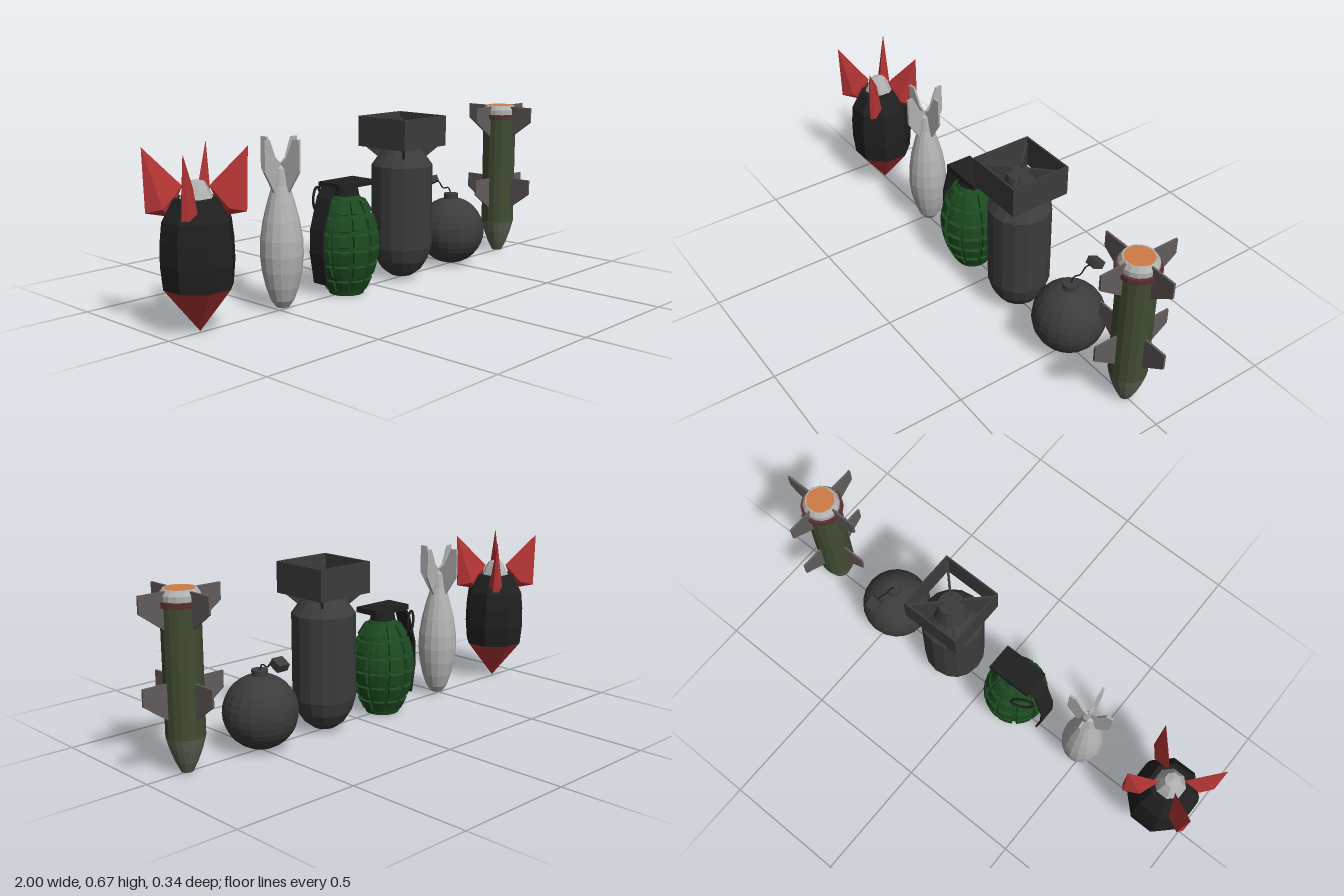
import * as THREE from 'three';
import { ConvexGeometry } from 'three/addons/geometries/ConvexGeometry.js';

const paint = (name, color) => Object.assign(new THREE.MeshStandardMaterial({ color }), { name });
const V = (x, y, z) => new THREE.Vector3(x, y, z);

export function createModel() {
  const black = paint('black', 0x202020);
  const darkGrey = paint('dark grey', 0x3c3c3d);
  const green = paint('green', 0x1c4a20);
  const red = paint('red', 0xb83636);
  const lightGrey = paint('light grey', 0xb2b2b2);
  const olive = paint('olive', 0x414c32);
  const noseGrey = paint('nose grey green', 0x5a6653);
  const maroon = paint('maroon', 0x5c2f2f);
  const orange = paint('orange', 0xcf7c46);
  const finGrey = paint('fin grey', 0x635d5d);

  const model = new THREE.Group();
  const item = (name, x) => {
    const g = new THREE.Group();
    g.name = name;
    g.position.x = x;
    model.add(g);
    return g;
  };
  const add = (parent, name, geo, mat) => {
    const m = new THREE.Mesh(geo, mat);
    m.name = name;
    parent.add(m);
    return m;
  };
  // Faceted solid of revolution; pts are [radius, y] from bottom to top
  const turned = (pts, sides, phase = 0) => {
    const g = new THREE.LatheGeometry(pts.map(p => new THREE.Vector2(...p)), sides, phase).toNonIndexed();
    g.computeVertexNormals();
    return g;
  };
  // Flat fin outline in the radius/height plane
  const plate = (pts, t) => {
    const s = new THREE.Shape(pts.map(p => new THREE.Vector2(...p)));
    return new THREE.ExtrudeGeometry(s, { depth: t, bevelEnabled: false }).translate(0, 0, -t / 2);
  };
  const ringOf = (parent, name, geo, mat, angles) =>
    angles.forEach(a => { add(parent, name, geo, mat).rotation.y = a; });
  const quarter = (offset) => [0, 1, 2, 3].map(i => offset + i * Math.PI / 2);

  // Red-nosed bomb
  const dart = item('redNosedBomb', -0.866);
  add(dart, 'nose', turned([[0, 0.005], [0.124, 0.165]], 8, Math.PI / 8), red);
  add(dart, 'body', turned([[0.124, 0.165], [0.132, 0.25], [0.13, 0.33], [0.122, 0.4], [0.08, 0.475], [0, 0.475]],
    8, Math.PI / 8), black);
  add(dart, 'tailCap', turned([[0.062, 0.47], [0.045, 0.505], [0.03, 0.53], [0, 0.537]], 8, Math.PI / 8), lightGrey);
  const wedge = new ConvexGeometry([V(0.177, 0.648, 0), V(0.045, 0.515, 0), V(0.17, 0.425, 0.012),
    V(0.17, 0.425, -0.012), V(0.11, 0.44, 0.028), V(0.11, 0.44, -0.028), V(0.09, 0.41, 0)]);
  const splay = 0.7;
  ringOf(dart, 'tailFin', wedge, red, [splay, -splay, Math.PI - splay, Math.PI + splay]);

  // Slim mortar bomb
  const slim = item('slimBomb', -0.484);
  add(slim, 'body', turned([[0, 0.004], [0.025, 0.012], [0.045, 0.04], [0.062, 0.09], [0.075, 0.15], [0.081, 0.21],
    [0.079, 0.27], [0.068, 0.34], [0.05, 0.41], [0.032, 0.47], [0.022, 0.53], [0, 0.55]], 16), lightGrey);
  ringOf(slim, 'tailFin', plate([[0.005, 0.43], [0.03, 0.43], [0.09, 0.525], [0.09, 0.64], [0.062, 0.64],
    [0.03, 0.57], [0.005, 0.55]], 0.009), lightGrey, quarter(0.14));

  // Grenade: core with raised blocks
  const grenade = item('grenade', -0.148);
  const profile = [[0.068, 0], [0.09, 0.035], [0.115, 0.1], [0.13, 0.17], [0.13, 0.22], [0.119, 0.28],
    [0.098, 0.335], [0.066, 0.385], [0.045, 0.4]];
  const radiusAt = (y) => {
    const i = Math.max(1, profile.findIndex(p => p[1] >= y));
    const [a, b] = [profile[i - 1], profile[i]];
    return a[0] + (b[0] - a[0]) * (y - a[1]) / (b[1] - a[1]);
  };
  add(grenade, 'core', turned(profile.map(([r, y], i) => [i === 0 ? r : r - 0.012, y]), 20), green);
  add(grenade, 'bottomPlug', turned([[0, 0], [0.066, 0], [0.068, 0.008]], 10), black);
  const cols = 10;
  for (let row = 0; row < 6; row++) {
    const lo = 0.012 + row * 0.062, hi = lo + 0.054;
    for (let c = 0; c < cols; c++) {
      const mid = (c + 0.5) * 2 * Math.PI / cols, half = Math.PI / cols * 0.87;
      const pts = [];
      for (const y of [lo, hi]) for (const s of [-1, 0, 1]) {
        const inY = y === lo ? 0.006 : -0.006;
        for (const [dr, k, dy] of [[-0.02, 1, 0], [0.001, 0.86, inY]]) {
          const r = radiusAt(y + dy) + dr, a = mid + s * half * k;
          pts.push(V(r * Math.sin(a), y + dy, r * Math.cos(a)));
        }
      }
      add(grenade, 'block', new ConvexGeometry(pts), green);
    }
  }
  add(grenade, 'neck', new THREE.CylinderGeometry(0.045, 0.052, 0.04, 10), black).position.y = 0.408;
  add(grenade, 'topPlate', new THREE.BoxGeometry(0.185, 0.022, 0.112), black).position.set(0.0, 0.433, 0);
  // Safety lever as a chain of flat strips
  const bend = [[-0.085, 0.436], [-0.118, 0.39], [-0.155, 0.27], [-0.158, 0.18], [-0.138, 0.06]];
  for (let i = 1; i < bend.length; i++) {
    const [x0, y0] = bend[i - 1], [x1, y1] = bend[i];
    const strip = add(grenade, 'lever',
      new THREE.BoxGeometry(Math.hypot(x1 - x0, y1 - y0) + 0.004, 0.008, 0.072), black);
    strip.position.set((x0 + x1) / 2, (y0 + y1) / 2, 0);
    strip.rotation.z = Math.atan2(y1 - y0, x1 - x0);
  }
  const pull = add(grenade, 'pullRing', new THREE.TorusGeometry(0.044, 0.005, 6, 20), black);
  pull.position.set(-0.085, 0.375, -0.075);
  pull.rotation.y = 0.5;

  // Large bomb with boxed tail
  const heavy = item('largeBomb', 0.176);
  add(heavy, 'body', turned([[0, 0.004], [0.045, 0.012], [0.082, 0.04], [0.108, 0.08], [0.124, 0.135], [0.124, 0.47],
    [0.07, 0.545], [0.05, 0.62], [0, 0.62]], 16), darkGrey);
  for (const a of quarter(0)) {
    const wall = add(heavy, 'tailBoxWall', new THREE.BoxGeometry(0.25, 0.122, 0.007), darkGrey);
    wall.position.set(Math.sin(a) * 0.1215, 0.607, Math.cos(a) * 0.1215);
    wall.rotation.y = a;
  }
  ringOf(heavy, 'tailFin', plate([[0.03, 0.51], [0.1, 0.505], [0.166, 0.56], [0.166, 0.645], [0.03, 0.645]], 0.009),
    darkGrey, quarter(Math.PI / 4));

  // Round bomb with fuse
  const round = item('roundBomb', 0.495);
  const ball = new THREE.SphereGeometry(0.143, 20, 16).toNonIndexed();
  ball.computeVertexNormals();
  add(round, 'ball', ball, darkGrey).position.y = 0.147;
  add(round, 'cap', new THREE.CylinderGeometry(0.031, 0.031, 0.03, 12), darkGrey).position.y = 0.293;
  const fuse = new THREE.CatmullRomCurve3([V(0, 0.3, 0), V(0, 0.33, -0.015), V(0, 0.325, -0.045),
    V(0, 0.35, -0.07), V(0, 0.345, -0.11)]);
  add(round, 'fuse', new THREE.TubeGeometry(fuse, 14, 0.003, 5), black);
  const tip = add(round, 'fuseTip', new THREE.BoxGeometry(0.048, 0.03, 0.048), darkGrey);
  tip.position.set(0, 0.35, -0.115);
  tip.rotation.x = -0.47;

  // Finned missile
  const missile = item('missile', 0.831);
  add(missile, 'nose', turned([[0, 0.002], [0.022, 0.004], [0.042, 0.045], [0.06, 0.095], [0.072, 0.14]], 16), noseGrey);
  add(missile, 'body', turned([[0.072, 0.14], [0.072, 0.61]], 16), olive);
  add(missile, 'band', turned([[0.07, 0.605], [0.083, 0.605], [0.083, 0.625], [0.07, 0.625]], 16), maroon);
  add(missile, 'collar', turned([[0.072, 0.62], [0.072, 0.645], [0.06, 0.664], [0.054, 0.664]], 16), lightGrey);
  add(missile, 'exhaust', turned([[0.056, 0.664], [0, 0.664]], 16), orange);
  for (const top of [0.66, 0.34]) {
    const fin = plate([[0.06, top], [0.06, top - 0.13], [0.074, top - 0.13], [0.168, top - 0.063], [0.168, top]], 0.008);
    ringOf(missile, 'fin', fin, finGrey, quarter(0));
  }
  return model;
}
